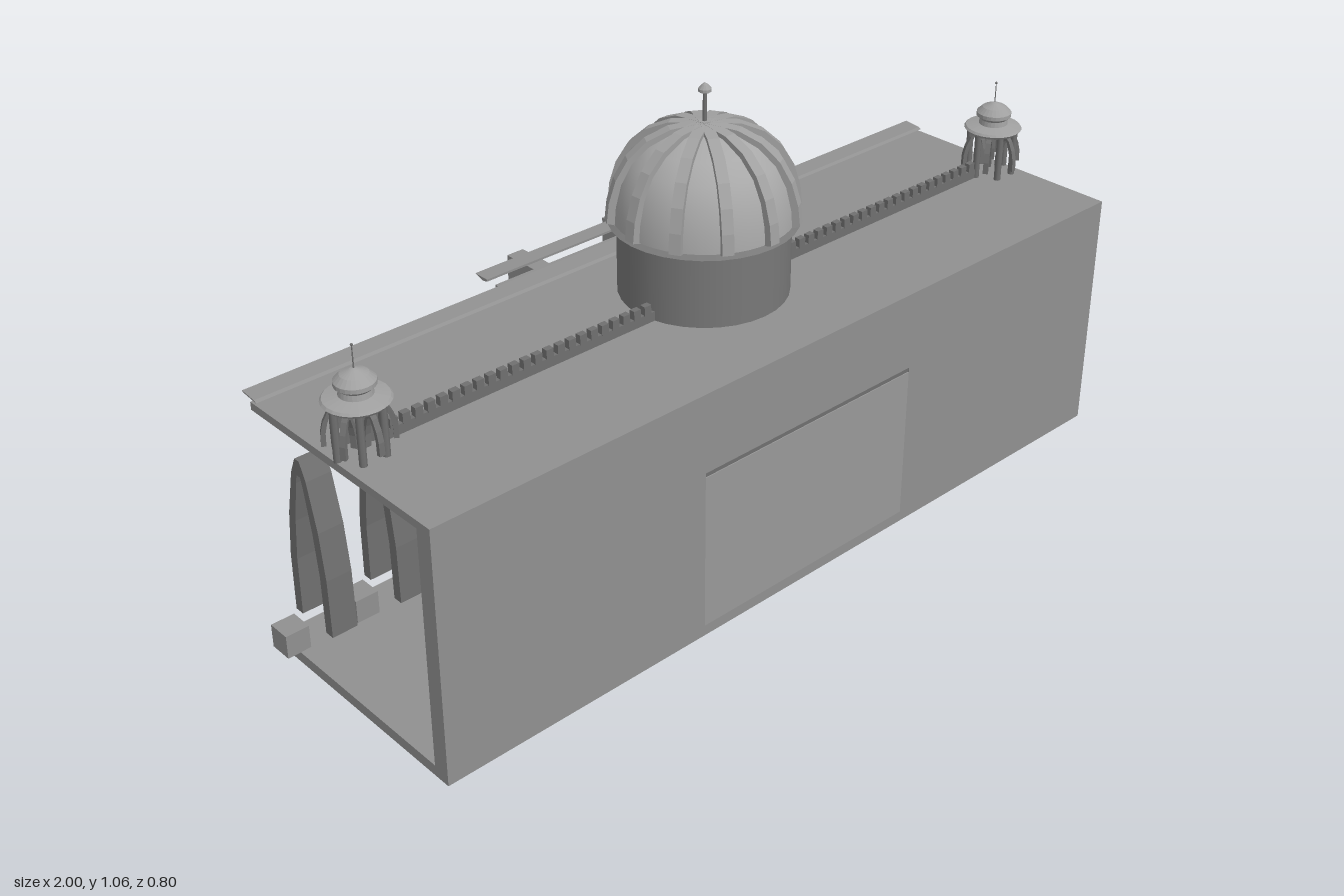
import * as THREE from 'three';

const paint = (color, flatShading = false) =>
  new THREE.MeshStandardMaterial({ color, flatShading, side: THREE.DoubleSide });
const masonry = paint(0x909090);
const panel = paint(0x999999);
const drumGrey = paint(0x787878);
const shellGrey = paint(0xa8a8a8);
const ribGrey = paint(0xa0a0a0, true);
const dark = paint(0x707070);
const archGrey = paint(0x707070, true);
const pale = new THREE.MeshStandardMaterial({ color: 0xcccccc });

function add(parent, name, geometry, material, x = 0, y = 0, z = 0) {
  const mesh = new THREE.Mesh(geometry, material);
  mesh.name = name;
  mesh.position.set(x, y, z);
  parent.add(mesh);
  return mesh;
}

// Box given by its limits on each axis
function box(parent, name, material, x0, x1, y0, y1, z0, z1) {
  return add(parent, name, new THREE.BoxGeometry(x1 - x0, y1 - y0, z1 - z0), material,
    (x0 + x1) / 2, (y0 + y1) / 2, (z0 + z1) / 2);
}

const toShape = (pts) => new THREE.Shape(pts.map(([a, b]) => new THREE.Vector2(a, b)));
const lathe = (pts, n = 24) => new THREE.LatheGeometry(pts.map(([r, y]) => new THREE.Vector2(r, y)), n);

// Outline in (z, y), extruded along x and centred on x = 0
function extrudeX(shape, width) {
  const g = new THREE.ExtrudeGeometry(shape, { depth: width, bevelEnabled: false, curveSegments: 12 });
  g.translate(0, 0, -width / 2);
  return g.rotateY(-Math.PI / 2);
}

// Pointed arch band from outer and inner half profiles
function pointedArch(sx, sy, width) {
  const outer = [[0.067, 0], [0.065, 0.14], [0.052, 0.25], [0.026, 0.36], [0.008, 0.4]];
  const inner = [[0.006, 0.362], [0.012, 0.34], [0.03, 0.24], [0.041, 0.14], [0.043, 0]];
  const mirror = (pts) => pts.map(([a, b]) => [-a, b]).reverse();
  const outline = [...outer, ...mirror(outer), ...mirror(inner), ...inner];
  return extrudeX(toShape(outline.map(([a, b]) => [a * sx, b * sy])), width);
}

function buildDome() {
  const dome = new THREE.Group();
  dome.name = 'mainDome';
  dome.position.z = 0.07;
  add(dome, 'drum', new THREE.CylinderGeometry(0.186, 0.186, 0.17, 32), drumGrey, 0, 0.672, 0);
  add(dome, 'drumLip', new THREE.CylinderGeometry(0.186, 0.205, 0.008, 32), drumGrey, 0, 0.757, 0);
  const profile = [[0.195, 0.762], [0.192, 0.8], [0.18, 0.85], [0.157, 0.895], [0.12, 0.93], [0.07, 0.955], [0, 0.966]];
  add(dome, 'domeShell', lathe(profile, 48), shellGrey);
  // Ribs follow the shell, standing slightly proud of it
  const ribOuter = [[0.211, 0.765], [0.206, 0.81], [0.191, 0.86], [0.165, 0.905], [0.125, 0.942], [0.075, 0.964], [0, 0.973]];
  const ribInner = profile.map(([r, y]) => [Math.max(r - 0.01, 0), y - 0.005]).reverse();
  const rib = extrudeX(toShape([...ribOuter, ...ribInner]), 0.025);
  for (let i = 0; i < 12; i++) {
    add(dome, 'domeRib', rib, ribGrey).rotation.y = (i * Math.PI) / 6;
  }
  add(dome, 'spire', new THREE.CylinderGeometry(0.004, 0.005, 0.075, 10), dark, 0, 1.0, 0);
  add(dome, 'spireKnob', lathe([[0, 1.03], [0.014, 1.038], [0.014, 1.044], [0.006, 1.053], [0, 1.057]], 12), ribGrey);
  return dome;
}

function buildKiosk(x) {
  const kiosk = new THREE.Group();
  kiosk.name = 'cornerKiosk';
  kiosk.position.set(x, 0, 0.11);
  const post = new THREE.CylinderGeometry(0.008, 0.008, 0.11, 8);
  const arch = pointedArch(0.4, 0.2, 0.012);
  for (let i = 0; i < 6; i++) {
    const a = (i * Math.PI) / 3;
    add(kiosk, 'kioskPost', post, dark, 0.052 * Math.cos(a), 0.642, 0.052 * Math.sin(a));
    const m = a + Math.PI / 6;
    const bay = add(kiosk, 'kioskArch', arch, archGrey, 0.045 * Math.cos(m), 0.61, 0.045 * Math.sin(m));
    bay.rotation.y = Math.PI / 2 - m;
  }
  add(kiosk, 'kioskRoof', lathe([[0, 0.695], [0.062, 0.696], [0.068, 0.703], [0.064, 0.708], [0.034, 0.714],
    [0.032, 0.726], [0.041, 0.734], [0.041, 0.743], [0.028, 0.756], [0.008, 0.765], [0, 0.767]]), ribGrey);
  add(kiosk, 'kioskSpike', new THREE.CylinderGeometry(0.001, 0.0015, 0.05, 6), dark, 0, 0.79, 0);
  add(kiosk, 'kioskSpikeTip', new THREE.SphereGeometry(0.003, 8, 6), dark, 0, 0.815, 0);
  return kiosk;
}

// Central gateway block with its arched recess, upper storey and brackets
function buildGateway() {
  const gate = new THREE.Group();
  gate.name = 'gateway';
  box(gate, 'gatewayCore', panel, -0.305, 0.305, 0.025, 0.393, -0.225, 0.4);
  const face = toShape([[-0.31, 0.025], [-0.14, 0.025], [-0.14, 0.2], [-0.128, 0.25], [-0.1, 0.29], [-0.055, 0.32],
    [0, 0.333], [0.055, 0.32], [0.1, 0.29], [0.128, 0.25], [0.14, 0.2], [0.14, 0.025],
    [0.31, 0.025], [0.31, 0.393], [-0.31, 0.393]]);
  add(gate, 'gatewayArchFace', new THREE.ExtrudeGeometry(face, { depth: 0.06, bevelEnabled: false }), masonry, 0, 0, -0.285);
  box(gate, 'stringCourse', dark, -0.306, 0.306, 0.393, 0.404, -0.25, 0.398);
  box(gate, 'upperStorey', masonry, -0.305, 0.305, 0.404, 0.57, -0.265, 0.4);

  // Low balustrade on the ledge
  box(gate, 'balconyRail', dark, -0.25, 0.25, 0.442, 0.452, -0.282, -0.266);
  box(gate, 'balconyLedge', masonry, -0.3, 0.3, 0.393, 0.412, -0.282, -0.245);
  const baluster = new THREE.BoxGeometry(0.01, 0.034, 0.012);
  for (let i = 0; i < 17; i++) add(gate, 'baluster', baluster, dark, -0.24 + i * 0.03, 0.427, -0.274);

  // Brackets with a quarter circle below, closed by a web on the left face
  const bracket = new THREE.Shape();
  bracket.moveTo(-0.26, 0.541);
  bracket.lineTo(-0.403, 0.541);
  bracket.lineTo(-0.403, 0.406);
  bracket.lineTo(-0.392, 0.406);
  bracket.absarc(-0.265, 0.406, 0.127, Math.PI, Math.PI / 2, true);
  bracket.lineTo(-0.26, 0.533);
  const bracketGeometry = extrudeX(bracket, 0.045);
  const web = new THREE.CircleGeometry(0.127, 12, 0, Math.PI / 2).rotateY(Math.PI / 2);
  for (const x of [-0.142, 0.142]) {
    add(gate, 'gatewayBracket', bracketGeometry, masonry, x);
    add(gate, 'bracketWeb', web, pale, x + 0.0225, 0.406, -0.265);
  }
  return gate;
}

export function createModel() {
  const model = new THREE.Group();
  model.name = 'domedHall';

  // Floor, roof and thin sloping eaves
  box(model, 'floorSlab', masonry, -0.97, 0.97, 0, 0.025, -0.18, 0.4);
  box(model, 'roofSlab', masonry, -0.97, 0.97, 0.57, 0.588, -0.18, 0.4);
  const roofEave = toShape([[-0.158, 0.594], [-0.205, 0.599], [-0.207, 0.602], [-0.165, 0.598]]);
  const gatewayEave = toShape([[-0.247, 0.597], [-0.26, 0.594], [-0.288, 0.602], [-0.247, 0.602]]);
  add(model, 'roofEave', extrudeX(roofEave, 1.94), masonry);
  add(model, 'gatewayEave', extrudeX(gatewayEave, 0.68), masonry);

  model.add(buildGateway(), buildDome());

  const wall = new THREE.BoxGeometry(0.665, 0.545, 0.04);
  const arch = pointedArch(1, 1, 0.06);
  const footing = new THREE.BoxGeometry(0.055, 0.055, 0.055);
  const rail = new THREE.BoxGeometry(0.68, 0.022, 0.012);
  const merlon = new THREE.BoxGeometry(0.018, 0.022, 0.014);
  for (const s of [-1, 1]) {
    add(model, 'frontWall', wall, masonry, s * 0.6375, 0.2975, 0.38);
    // Arcade with a square footing beside each arch
    for (let i = 0; i < 4; i++) {
      add(model, 'arcadeArch', arch, archGrey, s * (0.885 - i * 0.17), 0.055, -0.126);
      add(model, 'arcadeFooting', footing, masonry, s * (0.972 - i * 0.17), 0.052, -0.126);
    }
    // Crenellated roof parapet
    add(model, 'parapetRail', rail, dark, s * 0.52, 0.599, 0.107);
    for (let i = 0; i < 23; i++) add(model, 'merlon', merlon, dark, s * (0.2 + i * 0.029), 0.619, 0.107);
    model.add(buildKiosk(s * 0.912));
  }
  return model;
}
